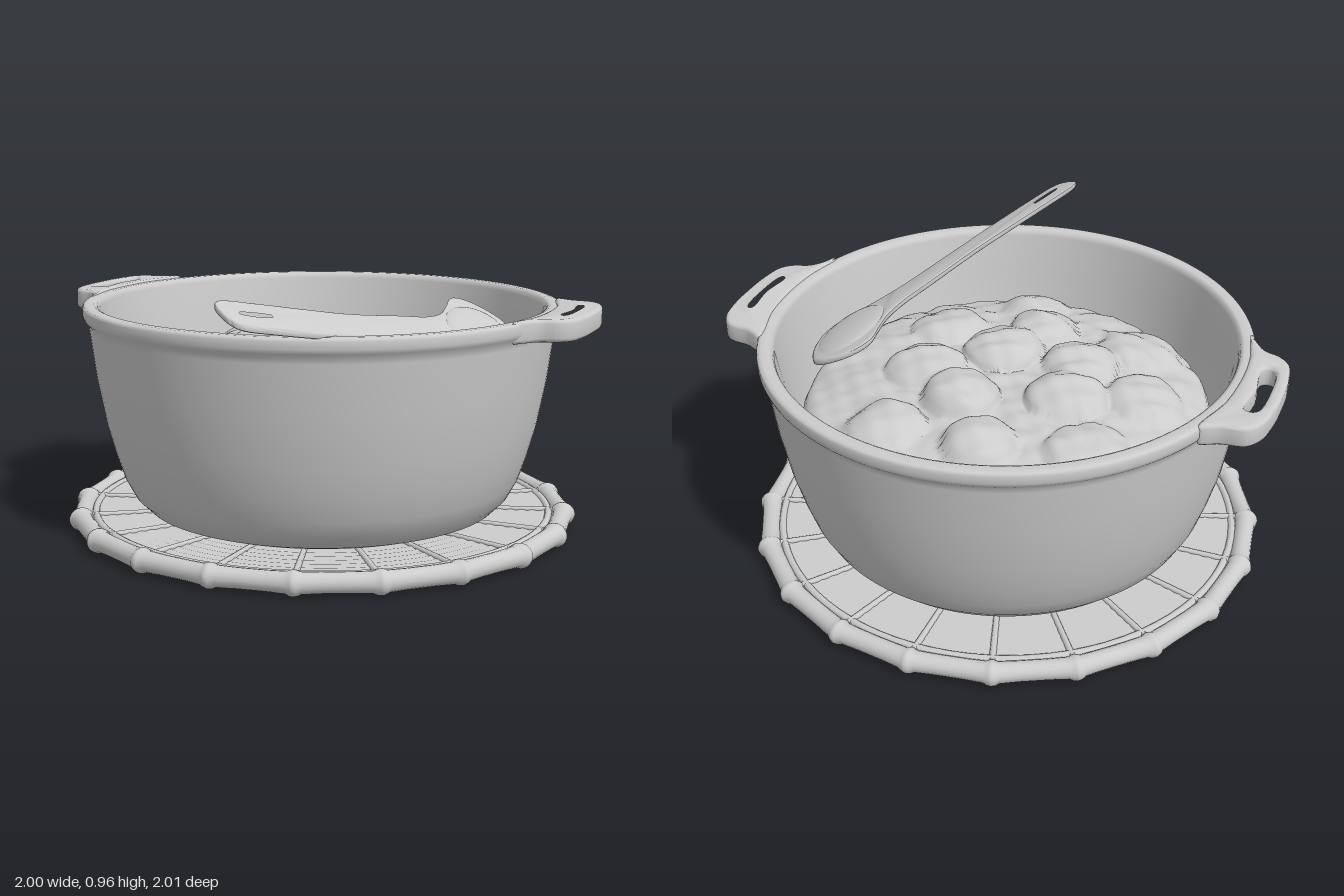
import * as THREE from 'three';
import { mergeVertices, toCreasedNormals } from 'three/addons/utils/BufferGeometryUtils.js';

const CZ = -0.08; // centre of pot and trivet in z
const clay = new THREE.MeshStandardMaterial({ color: 0xcccccc });
clay.name = 'light grey';

function add(group, name, geometry, x = 0, y = 0, z = 0) {
  const mesh = new THREE.Mesh(geometry, clay);
  mesh.name = name;
  mesh.position.set(x, y, z);
  group.add(mesh);
  return mesh;
}

// move every vertex of a geometry by a rule
function warp(geometry, rule) {
  const p = geometry.attributes.position;
  const v = new THREE.Vector3();
  for (let i = 0; i < p.count; i++) {
    v.fromBufferAttribute(p, i);
    rule(v);
    p.setXYZ(i, v.x, v.y, v.z);
  }
  geometry.computeVertexNormals();
  return geometry;
}

const lathe = (points, segments) =>
  new THREE.LatheGeometry(points.map(([r, y]) => new THREE.Vector2(r, y)), segments);

// flat plate from a smooth closed outline in x and z, with a slot
function plate(outline, slot, depth, bevel) {
  const smooth = (pts, n) => new THREE.CatmullRomCurve3(
    pts.map(([x, z]) => new THREE.Vector3(x, -z, 0)), true, 'centripetal')
    .getPoints(n).slice(0, -1).map(p => new THREE.Vector2(p.x, p.y));
  const shape = new THREE.Shape(smooth(outline, 110));
  shape.holes.push(new THREE.Path(smooth(slot, 40)));
  const g = new THREE.ExtrudeGeometry(shape, {
    depth: depth - 2 * bevel, bevelSize: bevel, bevelOffset: -bevel,
    bevelThickness: bevel, bevelSegments: 3,
  });
  return g.translate(0, 0, bevel).rotateX(-Math.PI / 2);
}

function makePot() {
  const pot = new THREE.Group();
  pot.name = 'pot';
  add(pot, 'potBody', lathe([
    [0, 0.07], [0.6, 0.07], [0.655, 0.09], [0.7, 0.135], [0.735, 0.2], [0.765, 0.29],
    [0.795, 0.4], [0.827, 0.57], [0.85, 0.75], [0.853, 0.77], [0.866, 0.785],
    [0.872, 0.8], [0.872, 0.825], [0.867, 0.835], [0.855, 0.838], [0.83, 0.838],
    [0.818, 0.832], [0.812, 0.815], [0.79, 0.68], [0.76, 0.5], [0.72, 0.3],
    [0.62, 0.16], [0, 0.14],
  ], 128), 0, 0, CZ);

  // slotted grips on both sides
  for (const s of [-1, 1]) {
    const m = pts => pts.map(([x, z]) => [s * x, z]);
    const grip = plate(m([
      [0.79, -0.43], [0.86, -0.405], [0.94, -0.39], [0.978, -0.34], [0.997, -0.24],
      [1, -0.145], [0.997, -0.05], [0.978, 0.05], [0.94, 0.09], [0.88, 0.115],
      [0.81, 0.2], [0.84, 0.05], [0.848, -0.08], [0.835, -0.25],
    ]), m([
      [0.9, -0.27], [0.925, -0.285], [0.945, -0.27], [0.957, -0.14], [0.945, -0.015],
      [0.925, 0], [0.9, -0.015], [0.91, -0.14],
    ]), 0.078, 0.014);
    add(pot, s > 0 ? 'leftGrip' : 'rightGrip', toCreasedNormals(grip, 0.7), 0, 0.767, 0);
  }
  return pot;
}

// domed filling with round dumplings pushed up through it
function makeFilling() {
  const lumps = [
    [-0.07, -0.5, 0.13, 0.09], [0.1, -0.26, 0.14, 0.1], [-0.25, -0.14, 0.15, 0.09],
    [-0.22, 0.1, 0.14, 0.09], [0.08, 0.09, 0.15, 0.09], [0, 0.3, 0.13, 0.08],
    [0.3, -0.12, 0.15, 0.08], [-0.42, -0.4, 0.15, 0.06], [0.28, -0.5, 0.14, 0.06],
    [-0.5, -0.02, 0.14, 0.06], [-0.38, 0.32, 0.15, 0.05], [0.1, 0.5, 0.12, 0.06],
    [0.35, 0.2, 0.14, 0.06],
  ];
  let g = new THREE.RingGeometry(0.001, 0.735, 160, 60).rotateX(-Math.PI / 2);
  g.deleteAttribute('uv');
  g.deleteAttribute('normal');
  g = mergeVertices(g, 1e-5);
  return warp(g, v => {
    const r = Math.hypot(v.x, v.z) / 0.735;
    const z = v.z + CZ;
    let bump = 0;
    for (const [lx, lz, size, h] of lumps) {
      const d = ((v.x - lx) ** 2 + (z - lz) ** 2) / (size * size);
      if (d < 1) bump = Math.max(bump, h * Math.sqrt(1 - d));
    }
    const rough = 0.009 * Math.sin(17 * v.x + 5 * Math.sin(9 * z)) * Math.cos(19 * z + 4 * v.x)
      + 0.004 * Math.sin(53 * v.x + 3 * z) * Math.sin(47 * z - 11 * v.x);
    v.y = 0.53 + 0.1 * Math.sqrt(Math.max(0, 1 - r ** 4)) + 0.02 * (1 - r * r)
      + 0.75 * bump + rough;
  });
}

// spoon leaning over the rim, tilted towards +x
function makeSpoon() {
  const spoon = new THREE.Group();
  spoon.name = 'spoon';
  const lean = v => { v.y += 0.915 - 0.02 * (v.z - 0.95) - 0.48 * (v.x - 0.16); };
  const blade = plate([
    [0.42, -0.31], [0.45, -0.37], [0.52, -0.395], [0.6, -0.38], [0.66, -0.3],
    [0.705, -0.18], [0.715, -0.09], [0.69, 0], [0.62, 0.09], [0.55, 0.2], [0.45, 0.45],
    [0.36, 0.68], [0.27, 0.88], [0.215, 0.98], [0.18, 0.992], [0.11, 0.955],
    [0.1, 0.915], [0.16, 0.77], [0.24, 0.6], [0.32, 0.42], [0.4, 0.18],
    [0.45, 0.03], [0.46, -0.08], [0.44, -0.2],
  ], [
    [0.165, 0.905], [0.2, 0.82], [0.22, 0.79], [0.24, 0.8], [0.235, 0.835],
    [0.2, 0.91], [0.18, 0.93], [0.165, 0.925],
  ], 0.026, 0.009);
  add(spoon, 'spoonHandleAndBlade', toCreasedNormals(warp(blade, lean), 0.7));
  const bowl = new THREE.SphereGeometry(1, 40, 24).scale(0.12, 0.035, 0.225)
    .rotateY(0.2).translate(0.583, 0.013, -0.14);
  add(spoon, 'spoonBowl', warp(bowl, lean));
  return spoon;
}

// woven trivet with a jointed cane border
function makeTrivet() {
  const trivet = new THREE.Group();
  trivet.name = 'trivet';
  const profile = [[0, 0.025]];
  for (let i = 1; i <= 44; i++) profile.push([i * 0.02, 0.023 + 0.003 * (i % 2)]);
  for (let i = 44; i >= 30; i--) profile.push([i * 0.02, 0.06 + 0.004 * (i % 2)]);
  profile.push([0, 0.06]);
  add(trivet, 'wovenDisc', lathe(profile, 80));

  const n = 20, R = 0.888;
  const cane = lathe([
    [0.044, -0.142], [0.043, -0.128], [0.037, -0.115], [0.035, -0.05], [0.035, 0.05],
    [0.037, 0.115], [0.043, 0.128], [0.044, 0.142],
  ], 16).rotateX(Math.PI / 2);
  const knot = new THREE.SphereGeometry(0.046, 16, 12).scale(1, 0.96, 0.7);
  const spoke = new THREE.CylinderGeometry(0.012, 0.008, 0.6, 8)
    .rotateZ(-Math.PI / 2).translate(0.57, 0, 0);
  for (let i = 0; i < n; i++) {
    const a = (i / n) * Math.PI * 2, b = a + Math.PI / n;
    const rc = R * Math.cos(Math.PI / n);
    add(trivet, 'borderCane', cane, rc * Math.cos(b), 0.048, rc * Math.sin(b)).rotation.y = -b;
    add(trivet, 'borderKnot', knot, R * Math.cos(a), 0.048, R * Math.sin(a)).rotation.y = -a;
    add(trivet, 'upperSpoke', spoke, 0, 0.062, 0).rotation.y = -a;
    add(trivet, 'lowerSpoke', spoke, 0, 0.022, 0).rotation.y = -a;
  }
  // slim inner hoop beside the border
  add(trivet, 'innerHoop', new THREE.TorusGeometry(0.835, 0.014, 8, 80).rotateX(Math.PI / 2), 0, 0.06, 0);
  trivet.position.z = CZ;
  trivet.scale.x = 1.015;
  return trivet;
}

export function createModel() {
  const model = new THREE.Group();
  model.name = 'potOfStew';
  model.add(makeTrivet(), makePot(), makeSpoon());
  add(model, 'filling', makeFilling(), 0, 0, CZ);
  return model;
}
